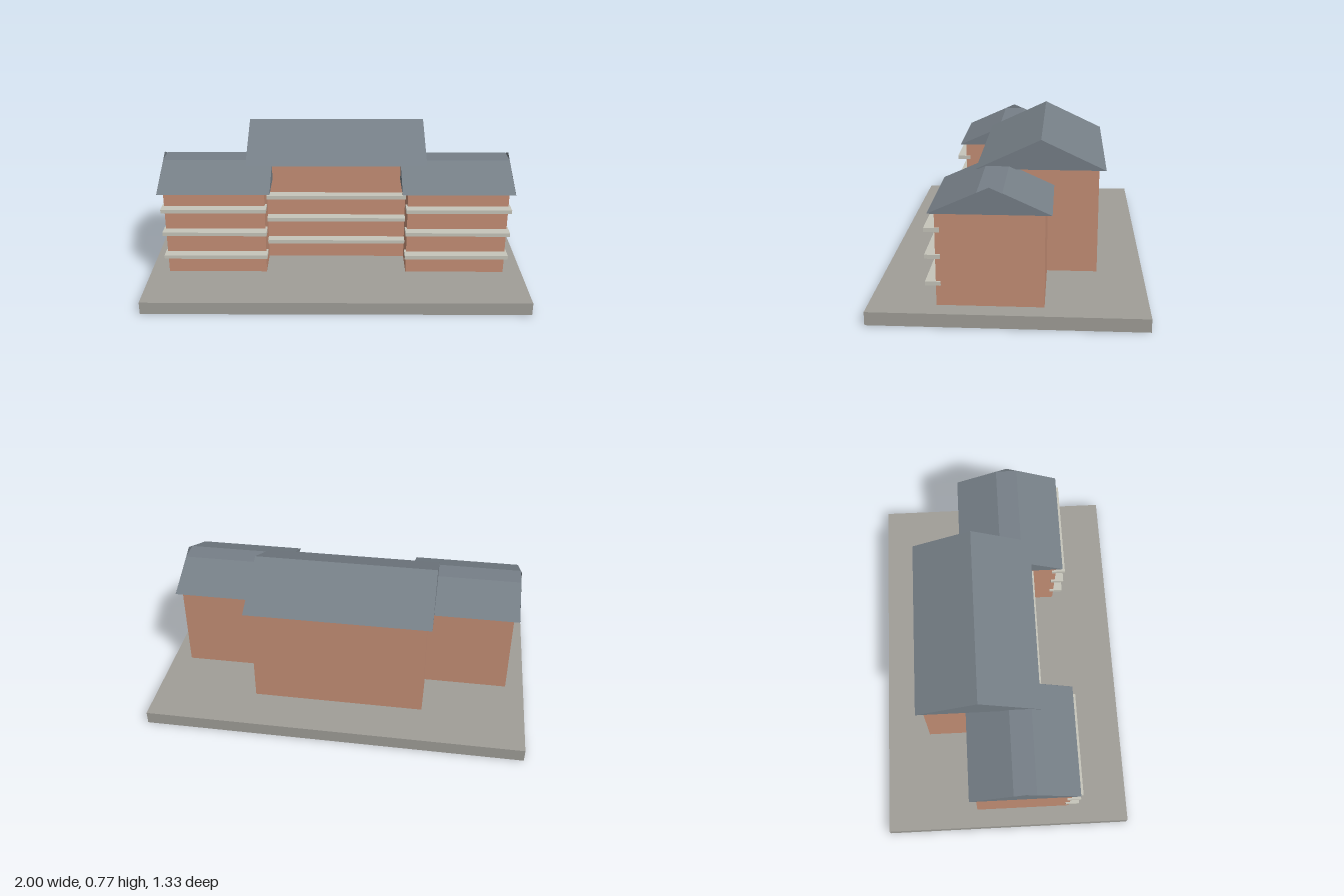
import * as THREE from 'three';

const mat = (name, color, side = THREE.FrontSide) => {
  const m = new THREE.MeshStandardMaterial({ color, side });
  m.name = name;
  return m;
};

export function createModel() {
  const model = new THREE.Group();
  const brick = mat('brick', 0xc58f76);
  const slate = mat('slate', 0x767f87, THREE.DoubleSide);
  const paving = mat('paving', 0xa09e98);
  const stone = mat('stone', 0xc6c5ba);

  const add = (name, geometry, material) => {
    const mesh = new THREE.Mesh(geometry, material);
    mesh.name = name;
    model.add(mesh);
    return mesh;
  };

  // Box given by its limits on each axis
  const box = (name, material, x0, x1, y0, y1, z0, z1) =>
    add(name, new THREE.BoxGeometry(x1 - x0, y1 - y0, z1 - z0), material)
      .position.set((x0 + x1) / 2, (y0 + y1) / 2, (z0 + z1) / 2);

  // Shape drawn in (z, y), turned so that it lies across the x axis
  const outline = (points) => new THREE.Shape(points.map(([z, y]) => new THREE.Vector2(-z, y)));
  const across = (geometry, x) => geometry.rotateY(Math.PI / 2).translate(x, 0, 0);
  const roof = (name, points, x0, x1) =>
    add(name, across(new THREE.ExtrudeGeometry(outline(points), { depth: x1 - x0, bevelEnabled: false }), x0), slate);

  const bandHeights = [0.18, 0.315, 0.447];
  const bands = (name, x0, x1, wallZ) => {
    for (const y of bandHeights) box(name, stone, x0, x1, y - 0.01, y + 0.01, wallZ - 0.023, wallZ + 0.05);
  };

  // Ground slab
  box('groundSlab', paving, -1, 1, 0, 0.067, -0.667, 0.667);

  // Central block
  box('mainWalls', brick, -0.455, 0.455, 0.067, 0.622, -0.43, 0.16);
  roof('mainRoof', [[0.19, 0.62], [-0.1375, 0.774], [-0.465, 0.62]], -0.485, 0.485);
  bands('mainLedge', -0.47, 0.47, 0.16);

  // Two matching wings
  for (const side of [-1, 1]) {
    const span = (a, b) => (side > 0 ? [a, b] : [-b, -a]);
    const label = side > 0 ? 'left' : 'right';
    box(label + 'WingWalls', brick, ...span(0.375, 0.902), 0.067, 0.535, -0.172, 0.34);
    bands(label + 'WingLedge', ...span(0.365, 0.912), 0.34);

    // Flat-topped roof between pointed gable sheets
    roof(label + 'WingRoof', [[0.37, 0.533], [0.14, 0.636], [0.022, 0.636], [-0.205, 0.533]], ...span(0.345, 0.93));
    for (const x of [0.3445, 0.9305]) {
      const gable = new THREE.ShapeGeometry(outline([[0.37, 0.533], [0.083, 0.662], [-0.205, 0.533]]));
      add(label + 'WingGable', across(gable, side * x), slate);
    }
  }
  return model;
}
